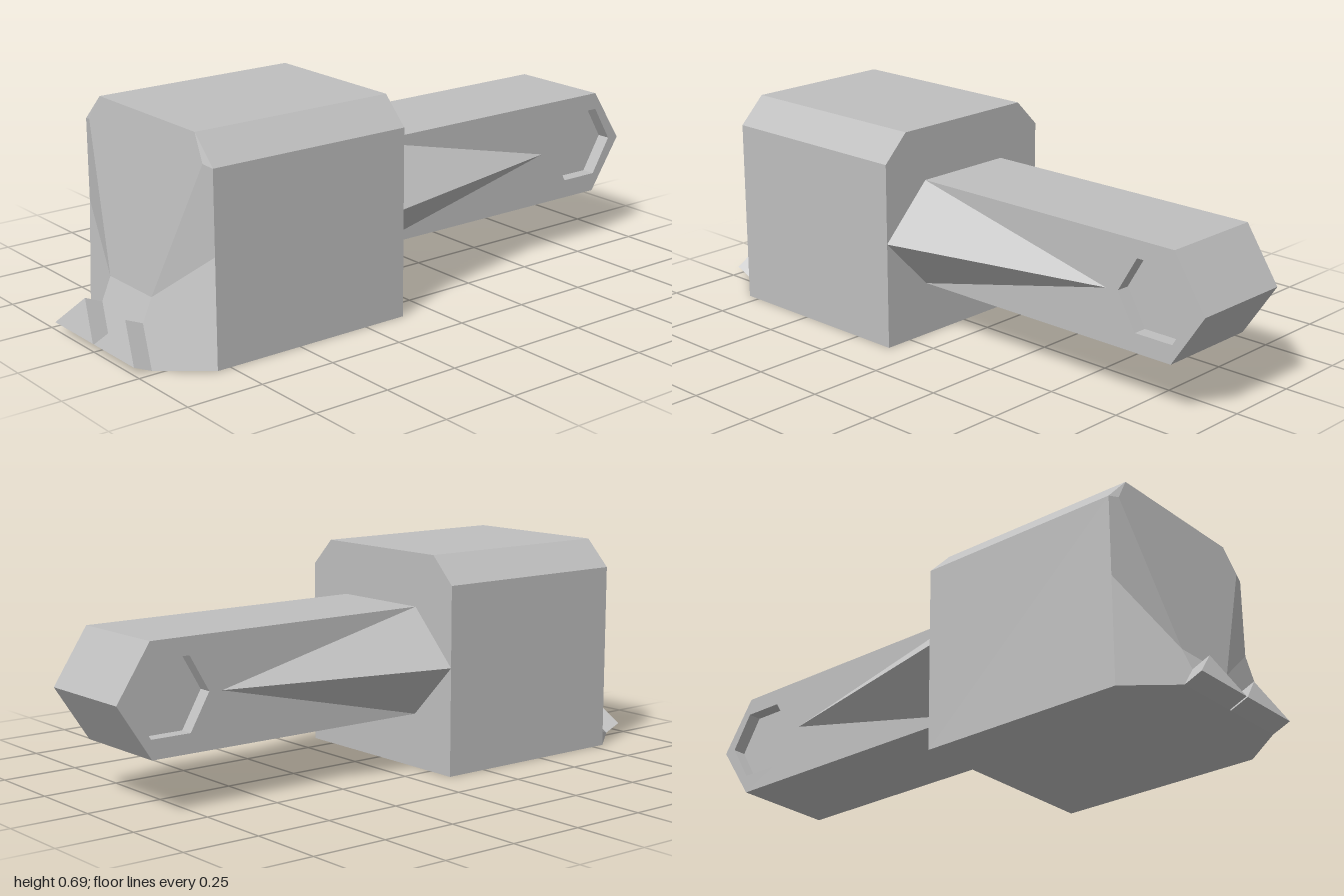
import * as THREE from 'three';

const W = 0.344, H = 0.692;          // body half width and height
const BACK = 0.105, FRONT = 0.795;   // body back and front rim
const T = 0.174, MID = 0.347;        // beam half width and mid height
const SLOPE = Math.atan2(0.075, 0.175);

// Builds a flat-faced solid from convex polygons, one normal for each polygon.
function polySolid(faces) {
  const pos = [], nor = [];
  for (const f of faces) {
    const n = new THREE.Vector3();
    const v = f.map(p => new THREE.Vector3(...p));
    v.forEach((a, i) => n.add(a.clone().cross(v[(i + 1) % v.length])));
    n.normalize();
    for (let i = 1; i < v.length - 1; i++) {
      for (const p of [v[0], v[i], v[i + 1]]) {
        pos.push(p.x, p.y, p.z);
        nor.push(n.x, n.y, n.z);
      }
    }
  }
  const g = new THREE.BufferGeometry();
  g.setAttribute('position', new THREE.Float32BufferAttribute(pos, 3));
  g.setAttribute('normal', new THREE.Float32BufferAttribute(nor, 3));
  return g;
}

const flip = ([x, y, z]) => [-x, y, z];
const mirrorFace = f => f.map(flip).reverse();
// Face that spans the centre line, from its +x half
const span = half => [...half, ...half.map(flip).reverse()];

function bodyGeometry() {
  const top = [0.257, H, FRONT], rim = [W, 0.605, FRONT], notch = [0.308, 0.612, 0.805];
  const side = [W, 0.345, FRONT], foot = [W, 0, FRONT];
  const brow = [0.115, 0.175, 0.867], lip = [0.115, 0, 0.942], toe = [0.225, 0, 0.942];
  const atBack = p => [p[0], p[1], BACK];
  const sides = [
    [top, notch, rim],
    [notch, brow, side, rim],
    [toe, foot, side, brow, lip],
    [foot, atBack(foot), atBack(rim), rim],
    [rim, atBack(rim), atBack(top), top],
  ];
  const centre = [
    span([brow, notch, top]),
    span([lip, brow]),
    span([top, atBack(top)]),
    span([atBack(foot), foot, toe]),
    span([atBack(top), atBack(rim), atBack(foot)]).reverse(),
  ];
  // Orient the centre faces outward from the middle of the body
  const mid = new THREE.Vector3(0, 0.35, 0.45);
  for (const f of centre) {
    const [a, b, c] = f.map(p => new THREE.Vector3(...p));
    const n = b.clone().sub(a).cross(c.sub(a));
    if (n.dot(a.sub(mid)) < 0) f.reverse();
  }
  return polySolid([...sides, ...sides.map(mirrorFace), ...centre]);
}

// Side outline of the beam, drawn as (z, y)
function beamShape() {
  return new THREE.Shape([
    [BACK, 0.174], [BACK, 0.52], [-0.885, 0.52], [-1, MID], [-0.885, 0.174],
  ].map(p => new THREE.Vector2(...p)));
}

// Extrudes a (z, y) outline across x, centred on xMid
function acrossX(shape, width, xMid) {
  const g = new THREE.ExtrudeGeometry(shape, { depth: width, bevelEnabled: false });
  return g.translate(0, 0, -width / 2).rotateY(-Math.PI / 2).translate(xMid, 0, 0);
}

export function createModel() {
  const group = new THREE.Group();
  const grey = new THREE.MeshStandardMaterial({ color: 0xbfbfbf });
  grey.name = 'grey';
  const add = (name, geometry) => {
    const mesh = new THREE.Mesh(geometry, grey);
    mesh.name = name;
    group.add(mesh);
    return mesh;
  };

  add('body', bodyGeometry());

  // Rear beam: a core with a pierced plate on each side, making hexagonal recesses
  const depth = 0.045;
  add('beamCore', acrossX(beamShape(), 2 * (T - depth), 0));
  const pierced = beamShape();
  pierced.holes.push(new THREE.Path([
    [-0.685, 0.35], [-0.752, 0.464], [-0.888, 0.464], [-0.957, 0.35], [-0.888, 0.235], [-0.752, 0.235],
  ].map(p => new THREE.Vector2(...p))));

  // Tapered fins beside the beam
  const up = [T, 0.52, BACK], out = [W, MID, BACK], low = [T, 0.174, BACK], tip = [T, MID, -0.64];
  const fin = [[up, out, tip], [tip, out, low]];

  // Triangular front teeth lying on the sloped lip
  const toothShape = new THREE.Shape([
    new THREE.Vector2(-0.111, 0), new THREE.Vector2(0.111, 0), new THREE.Vector2(0, 0.11),
  ]);
  const toothGeometry = new THREE.ExtrudeGeometry(toothShape, { depth: 0.064, bevelEnabled: false });

  for (const [s, label] of [[1, 'left'], [-1, 'right']]) {
    add(label + 'BeamPlate', acrossX(pierced, depth, s * (T - depth / 2)));
    add(label + 'Fin', polySolid(s > 0 ? fin : fin.map(mirrorFace)));
    const tooth = add(label + 'Tooth', toothGeometry);
    tooth.rotation.x = -SLOPE;
    tooth.position.set(s * 0.114, 0, 0.942);
  }
  return group;
}
